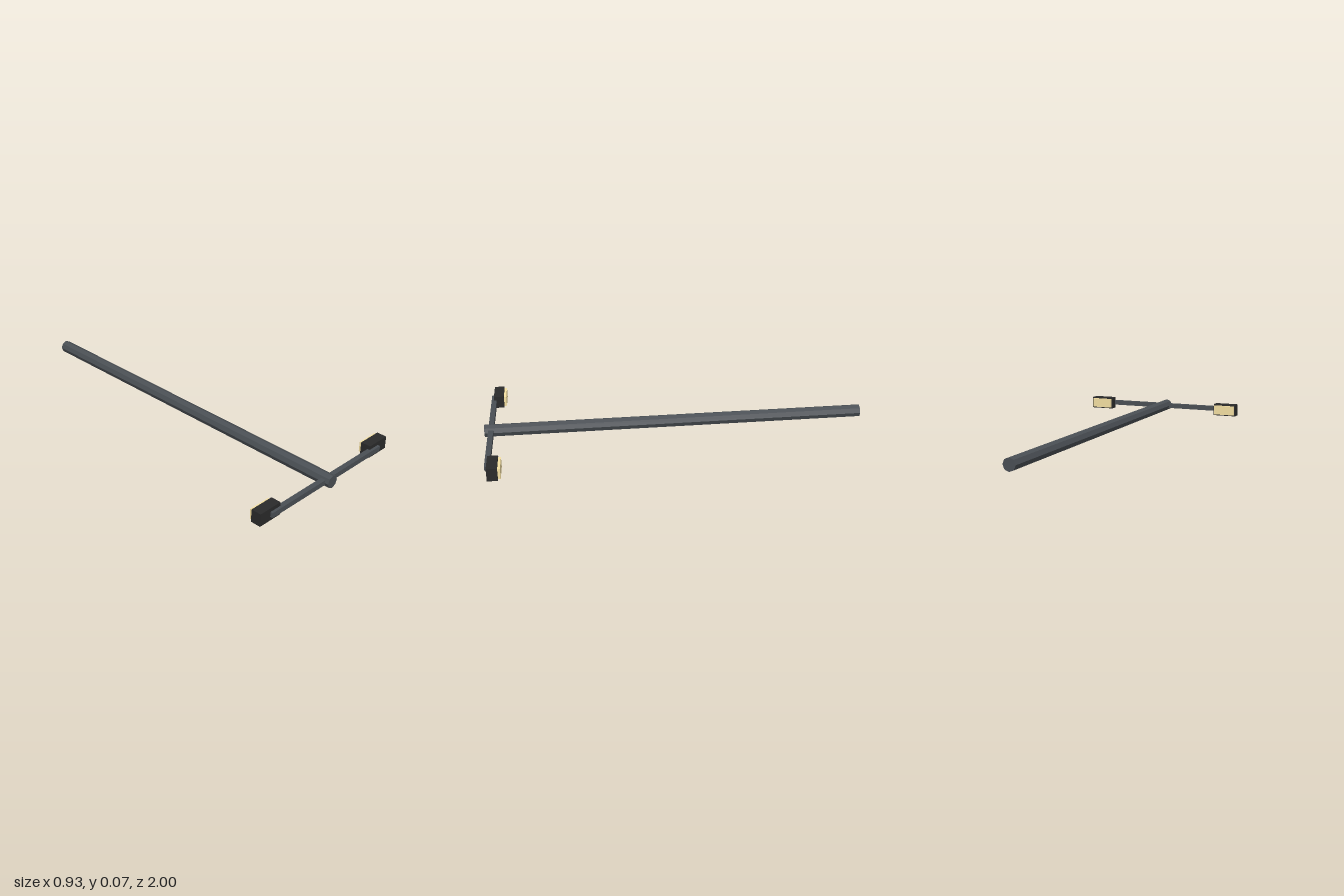
import * as THREE from 'three';

const AXIS_Y = 0.0333; // height of the pole axis above the ground

function material(color) {
  return new THREE.MeshStandardMaterial({ color, flatShading: true });
}

function addBox(parent, name, size, position, mat) {
  const mesh = new THREE.Mesh(new THREE.BoxGeometry(...size), mat);
  mesh.name = name;
  mesh.position.set(...position);
  parent.add(mesh);
  return mesh;
}

export function createModel() {
  const model = new THREE.Group();
  model.name = 'streetLamp';
  const steel = material(0x4a4f54);
  const housing = material(0x2a2a2a);
  const glass = material(0xf5e0a3);

  // Octagonal pole lying along z
  const pole = new THREE.Mesh(new THREE.CylinderGeometry(0.0333, 0.0333, 2, 8), steel);
  pole.name = 'pole';
  pole.rotation.x = Math.PI / 2;
  pole.position.y = AXIS_Y;
  model.add(pole);

  // Cross arm near the pole's front end
  addBox(model, 'crossArm', [0.8, 0.0267, 0.0267], [0, AXIS_Y, 0.9667], steel);

  // A lamp head at each end of the arm, lens facing back along the pole
  for (const side of [1, -1]) {
    const head = new THREE.Group();
    head.name = side > 0 ? 'leftLampHead' : 'rightLampHead';
    head.position.set(side * 0.4, AXIS_Y, 0.94);
    addBox(head, 'lampHousing', [0.1333, 0.0667, 0.0533], [0, 0, 0], housing);
    addBox(head, 'lampLens', [0.12, 0.0533, 0.0133], [0, 0, -0.0333], glass);
    model.add(head);
  }
  return model;
}
